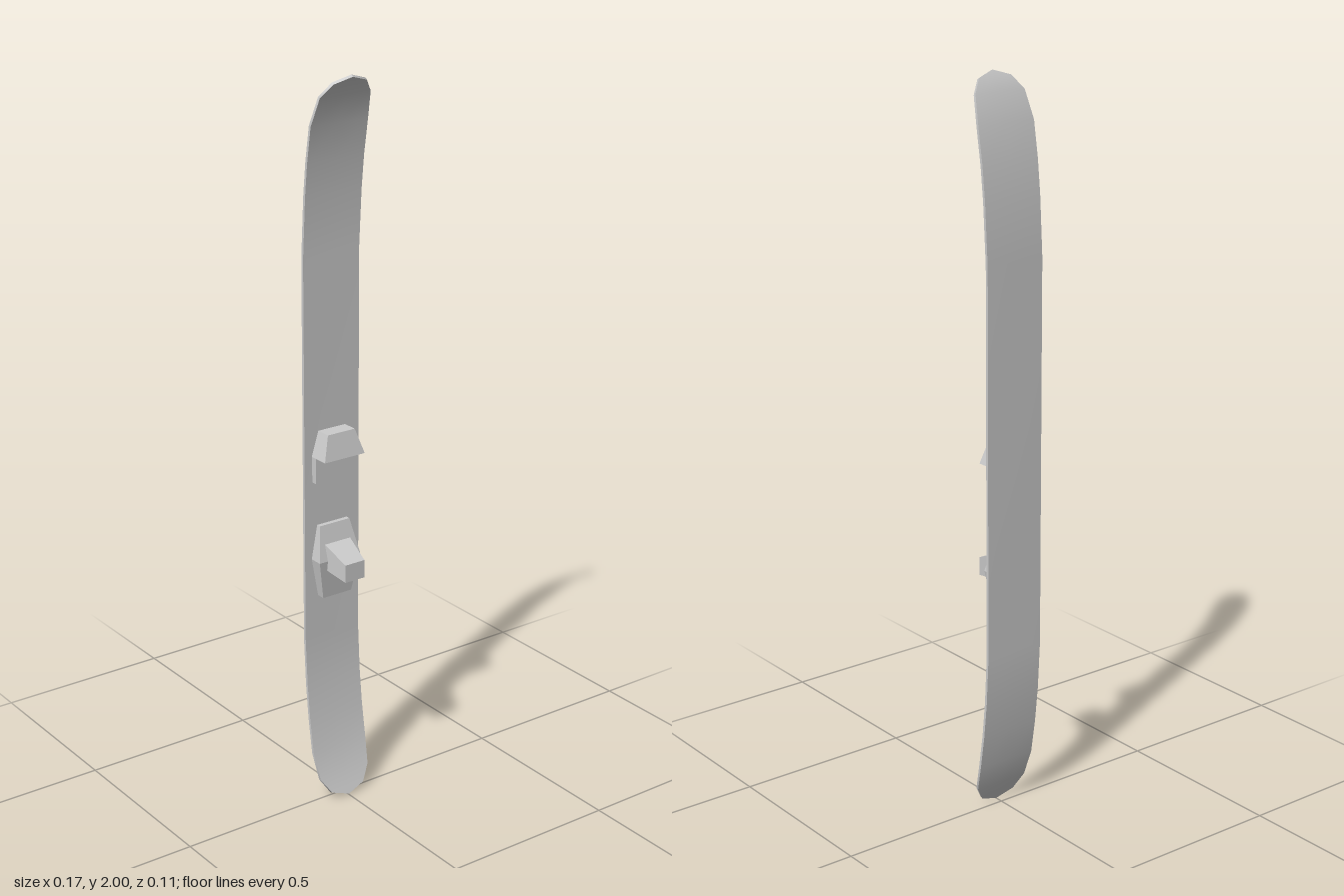
import * as THREE from 'three';

const smooth = new THREE.MeshStandardMaterial({ color: 0xcccccc });
const faceted = new THREE.MeshStandardMaterial({ color: 0xcccccc, flatShading: true });

function geometryFrom(points, index) {
  const geo = new THREE.BufferGeometry();
  geo.setAttribute('position', new THREE.Float32BufferAttribute(points.flat(), 3));
  geo.setIndex(index);
  return geo;
}

function addMesh(parent, name, geo, material) {
  const mesh = new THREE.Mesh(geo, material);
  mesh.name = name;
  parent.add(mesh);
}

// Smooth surface through rows of points, all rows having equal length.
function surface(rows) {
  const n = rows[0].length, index = [];
  for (let i = 0; i < rows.length - 1; i++) {
    for (let j = 0; j < n - 1; j++) {
      const a = i * n + j, d = a + n;
      index.push(a, a + 1, d + 1, a, d + 1, d);
    }
  }
  const geo = geometryFrom(rows.flat(), index);
  geo.computeVertexNormals();
  return geo;
}

// Faceted solid between a back loop and a front loop, both symmetric in x.
// Each loop lists [y, half width, z] from top to bottom.
function solid(back, front) {
  const loop = (list) => [
    ...list.map(([y, w, z]) => [-w, y, z]),
    ...[...list].reverse().map(([y, w, z]) => [w, y, z]),
  ];
  const n = back.length * 2, index = [];
  const quad = (a, b, c, d) => index.push(a, b, c, a, c, d);
  for (let i = 0; i < n; i++) {
    const j = (i + 1) % n;
    quad(i, j, n + j, n + i);
  }
  for (let i = 0; i < back.length - 1; i++) {
    const r = n - 1 - i;
    quad(n + i, n + i + 1, n + r - 1, n + r);
    quad(i, r, r - 1, i + 1);
  }
  const geo = geometryFrom([...loop(back), ...loop(front)], index).toNonIndexed();
  geo.computeVertexNormals();
  return geo;
}

export function createModel() {
  const model = new THREE.Group();
  model.name = 'ski';

  // Board: y, half width and z of the running base, from tail to tip
  const profile = [
    [0, 0, 0.023], [0.018, 0.053, 0.016], [0.06, 0.08, 0], [0.135, 0.0875, -0.022],
    [0.235, 0.0875, -0.038], [0.335, 0.0875, -0.049], [0.47, 0.0875, -0.057],
    [1.53, 0.0875, -0.057], [1.69, 0.0875, -0.047], [1.78, 0.0875, -0.037],
    [1.875, 0.0875, -0.021], [1.95, 0.077, 0.004], [1.985, 0.05, 0.025], [2, 0, 0.036],
  ];
  const thickness = 0.008;
  const under = profile.map(([y, w, z]) => [-w, 0, w].map((x) => [x, y, z]));
  const over = profile.map(([y, w, z], i) => {
    // Offset along the bend's normal
    const p = profile[Math.max(i - 1, 0)], q = profile[Math.min(i + 1, profile.length - 1)];
    const dy = q[0] - p[0], dz = q[2] - p[2], k = thickness / Math.hypot(dy, dz);
    return [-w, 0, w].map((x) => [x, y - dz * k, z + dy * k]);
  });
  const board = new THREE.Group();
  board.name = 'board';
  model.add(board);
  addMesh(board, 'topSheet', surface(over), smooth);
  addMesh(board, 'runningBase', surface(under.map((r) => [...r].reverse())), smooth);
  addMesh(board, 'leftEdge', surface(over.map((r, i) => [r[2], under[i][2]])), smooth);
  addMesh(board, 'rightEdge', surface(over.map((r, i) => [under[i][0], r[0]])), smooth);

  // Toe binding: low pad with an overhanging hood
  const toe = new THREE.Group();
  toe.name = 'toeBinding';
  model.add(toe);
  const seat = -0.052;
  addMesh(toe, 'toePad', solid(
    [[0.995, 0.063, seat], [0.92, 0.063, seat]],
    [[0.995, 0.063, -0.032], [0.92, 0.063, -0.032]]), faceted);
  addMesh(toe, 'toeHood', solid(
    [[1.06, 0.043, seat], [0.992, 0.064, seat]],
    [[1.06, 0.043, -0.006], [0.992, 0.064, 0.01]]), faceted);

  // Heel binding: six-sided plate with a tapered lever
  const heel = new THREE.Group();
  heel.name = 'heelBinding';
  model.add(heel);
  addMesh(heel, 'heelPlate', solid(
    [[0.795, 0.048, seat], [0.7, 0.066, seat], [0.59, 0.046, seat]],
    [[0.795, 0.048, -0.036], [0.7, 0.066, -0.012], [0.59, 0.046, -0.025]]), faceted);
  addMesh(heel, 'heelLever', solid(
    [[0.748, 0.042, -0.03], [0.675, 0.042, -0.03]],
    [[0.71, 0.031, 0.055], [0.66, 0.031, 0.055]]), faceted);

  return model;
}
